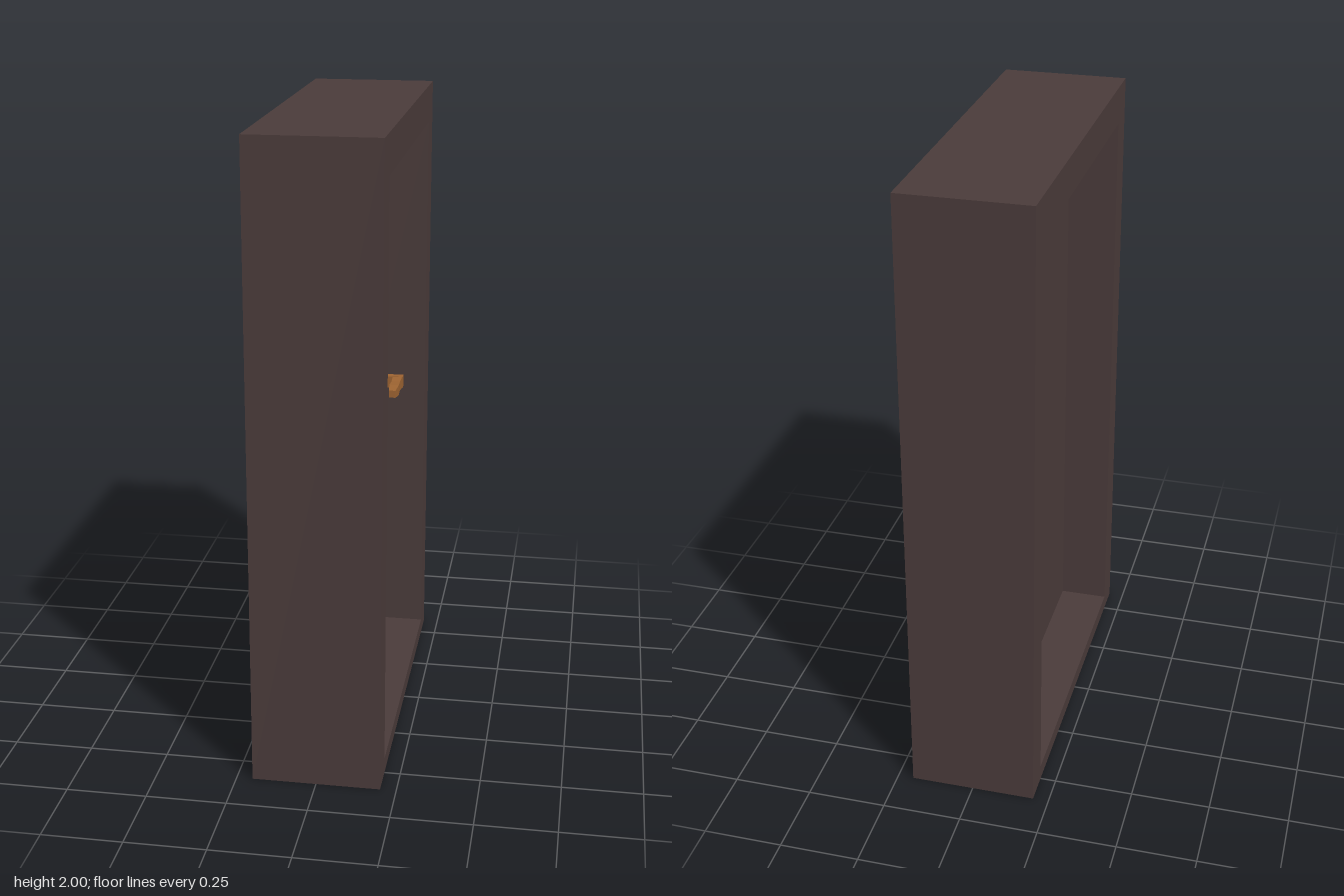
import * as THREE from 'three';

const wood = new THREE.MeshStandardMaterial({ name: 'darkWood', color: 0x4a3b3a });
const bronze = new THREE.MeshStandardMaterial({ name: 'bronze', color: 0x9c6331 });

function box(name, material, size, position) {
  const mesh = new THREE.Mesh(new THREE.BoxGeometry(...size), material);
  mesh.name = name;
  mesh.position.set(...position);
  return mesh;
}

// Deep surround with a rectangular opening, extruded along x
function makeFrame() {
  const shape = new THREE.Shape([[-0.6, 0], [0.6, 0], [0.6, 2], [-0.6, 2]].map(p => new THREE.Vector2(...p)));
  shape.holes.push(new THREE.Path([[-0.5, 0.05], [-0.5, 1.88], [0.5, 1.88], [0.5, 0.05]].map(p => new THREE.Vector2(...p))));
  const geometry = new THREE.ExtrudeGeometry(shape, { depth: 0.4, bevelEnabled: false });
  geometry.translate(0, 0, -0.2).rotateY(Math.PI / 2);
  const mesh = new THREE.Mesh(geometry, wood);
  mesh.name = 'doorFrame';
  return mesh;
}

// Lever that narrows in steps towards its free end (+z)
function makeLever(side) {
  const length = 0.14;
  let geometry = new THREE.BoxGeometry(0.034, 0.038, length, 1, 1, 3);
  const scales = [1, 0.85, 0.95, 0.65];
  const pos = geometry.attributes.position;
  for (let i = 0; i < pos.count; i++) {
    const s = scales[Math.round((pos.getZ(i) / length + 0.5) * 3)];
    pos.setXY(i, pos.getX(i) * s, pos.getY(i) * s);
  }
  geometry = geometry.toNonIndexed();
  geometry.computeVertexNormals();
  const mesh = new THREE.Mesh(geometry, bronze);
  mesh.name = 'lever';
  mesh.position.set(side * 0.117, 1, -0.32);
  return mesh;
}

// Back plate, spindle and lever for one face of the door
function makeHandle(side) {
  const handle = new THREE.Group();
  handle.name = side > 0 ? 'leftHandle' : 'rightHandle';
  handle.add(
    box('backPlate', bronze, [0.034, 0.155, 0.065], [side * 0.057, 0.975, -0.385]),
    box('spindle', bronze, [0.062, 0.04, 0.026], [side * 0.104, 1, -0.398]),
    makeLever(side)
  );
  return handle;
}

export function createModel() {
  const model = new THREE.Group();
  model.name = 'door';
  model.add(makeFrame(), box('doorLeaf', wood, [0.08, 1.83, 1], [0, 0.965, 0]));
  for (const side of [1, -1]) model.add(makeHandle(side));
  return model;
}
